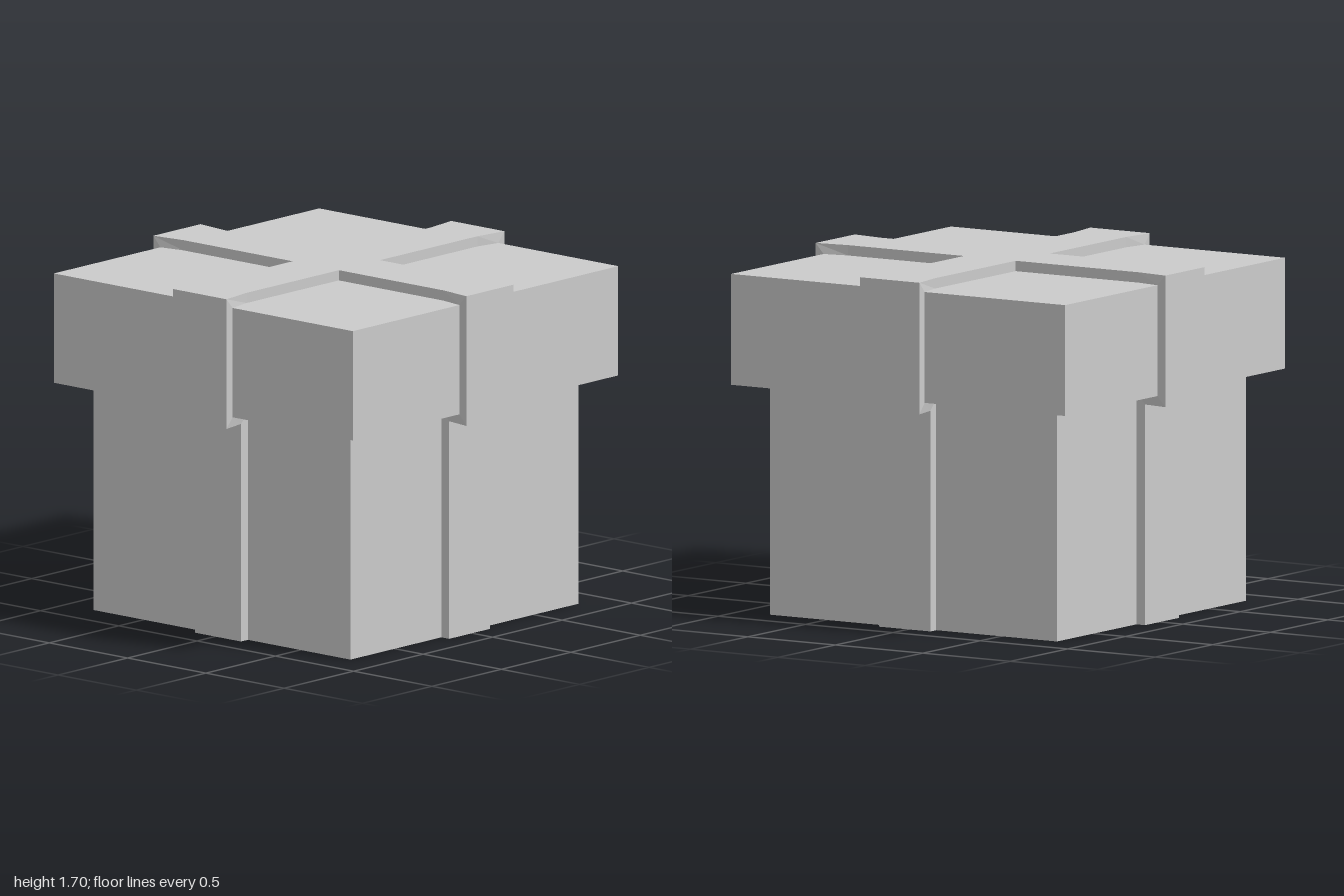
import * as THREE from 'three';

const material = new THREE.MeshStandardMaterial({ color: 0xcccccc, flatShading: true });

function box(name, size, y0, y1) {
  const mesh = new THREE.Mesh(new THREE.BoxGeometry(size, y1 - y0, size), material);
  mesh.position.y = (y0 + y1) / 2;
  mesh.name = name;
  return mesh;
}

// Half of the ribbon path: outer z, outer y, inner z, inner y, half width
const halfPath = [
  [0.87, 0, 0.82, 0, 0.1475],
  [0.87, 1.065, 0.82, 1.115, 0.1475],
  [1.0, 1.065, 0.955, 1.115, 0.17],
  [1.0, 1.7, 0.955, 1.65, 0.17],
  [0.83, 1.7, 0.83, 1.65, 0.1475],
];

// A flat band that climbs the box, wraps the lid rim and crosses the top
function ribbonGeometry(centreX) {
  const mirrored = halfPath.map(([oz, oy, iz, iy, w]) => [-oz, oy, -iz, iy, w]).reverse();
  const rings = [...halfPath, ...mirrored].map(([oz, oy, iz, iy, w]) => [
    [centreX - w, oy, oz], [centreX + w, oy, oz],
    [centreX + w, iy, iz], [centreX - w, iy, iz],
  ]);
  const positions = [];
  const quad = (a, b, c, d) => positions.push(...a, ...b, ...c, ...a, ...c, ...d);
  for (let i = 0; i < rings.length - 1; i++) {
    const p = rings[i], q = rings[i + 1];
    for (let k = 0; k < 4; k++) {
      const n = (k + 1) % 4;
      quad(p[k], p[n], q[n], q[k]);
    }
  }
  // Bottom ends
  quad(...[...rings[0]].reverse());
  quad(...rings[rings.length - 1]);
  const geometry = new THREE.BufferGeometry();
  geometry.setAttribute('position', new THREE.Float32BufferAttribute(positions, 3));
  geometry.computeVertexNormals();
  return geometry;
}

export function createModel() {
  const model = new THREE.Group();
  model.name = 'giftBox';
  model.add(box('boxBody', 1.64, 0, 1.115));
  model.add(box('lid', 1.91, 1.115, 1.65));

  // Two crossed ribbons, slightly off centre
  const geometry = ribbonGeometry(-0.018);
  ['ribbonFrontToBack', 'ribbonSideToSide'].forEach((name, i) => {
    const ribbon = new THREE.Mesh(geometry, material);
    ribbon.name = name;
    ribbon.rotation.y = i * Math.PI / 2;
    model.add(ribbon);
  });
  return model;
}
